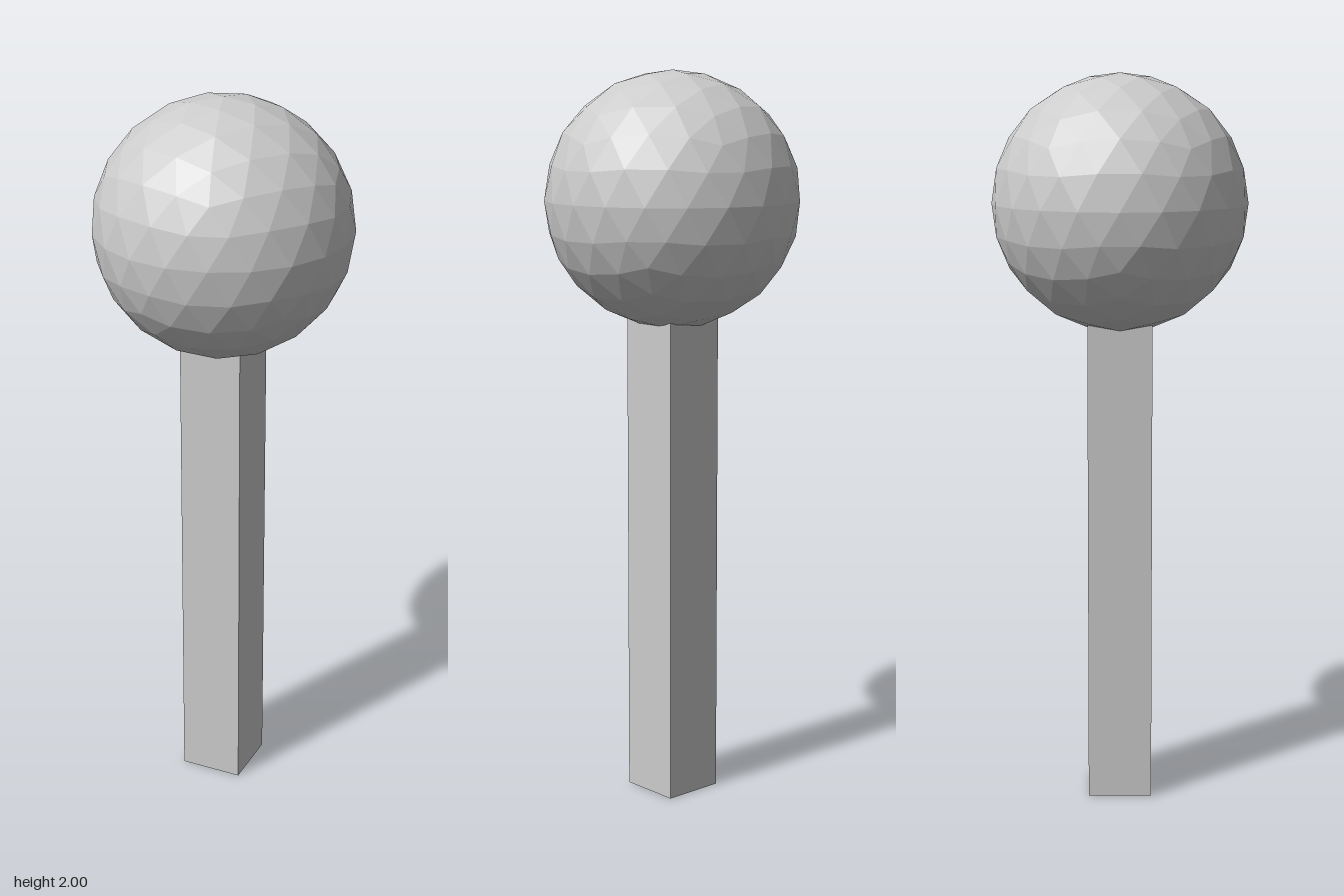
import * as THREE from 'three';

export function createModel() {
  const group = new THREE.Group();
  const material = new THREE.MeshStandardMaterial({ color: 0xcccccc, flatShading: true });

  const radius = 0.3465;
  const postWidth = 0.175;
  const postHeight = 1.4;

  // Square post, its top hidden inside the ball
  const post = new THREE.Mesh(new THREE.BoxGeometry(postWidth, postHeight, postWidth), material);
  post.name = 'post';
  post.position.y = postHeight / 2;
  group.add(post);

  // Faceted ball, turned so that one corner of the icosahedron points straight up
  const ballGeometry = new THREE.IcosahedronGeometry(radius, 3);
  ballGeometry.rotateZ(-Math.atan(2 / (1 + Math.sqrt(5))));
  const ball = new THREE.Mesh(ballGeometry, material);
  ball.name = 'ball';
  ball.position.y = 2 - radius;
  group.add(ball);

  return group;
}
